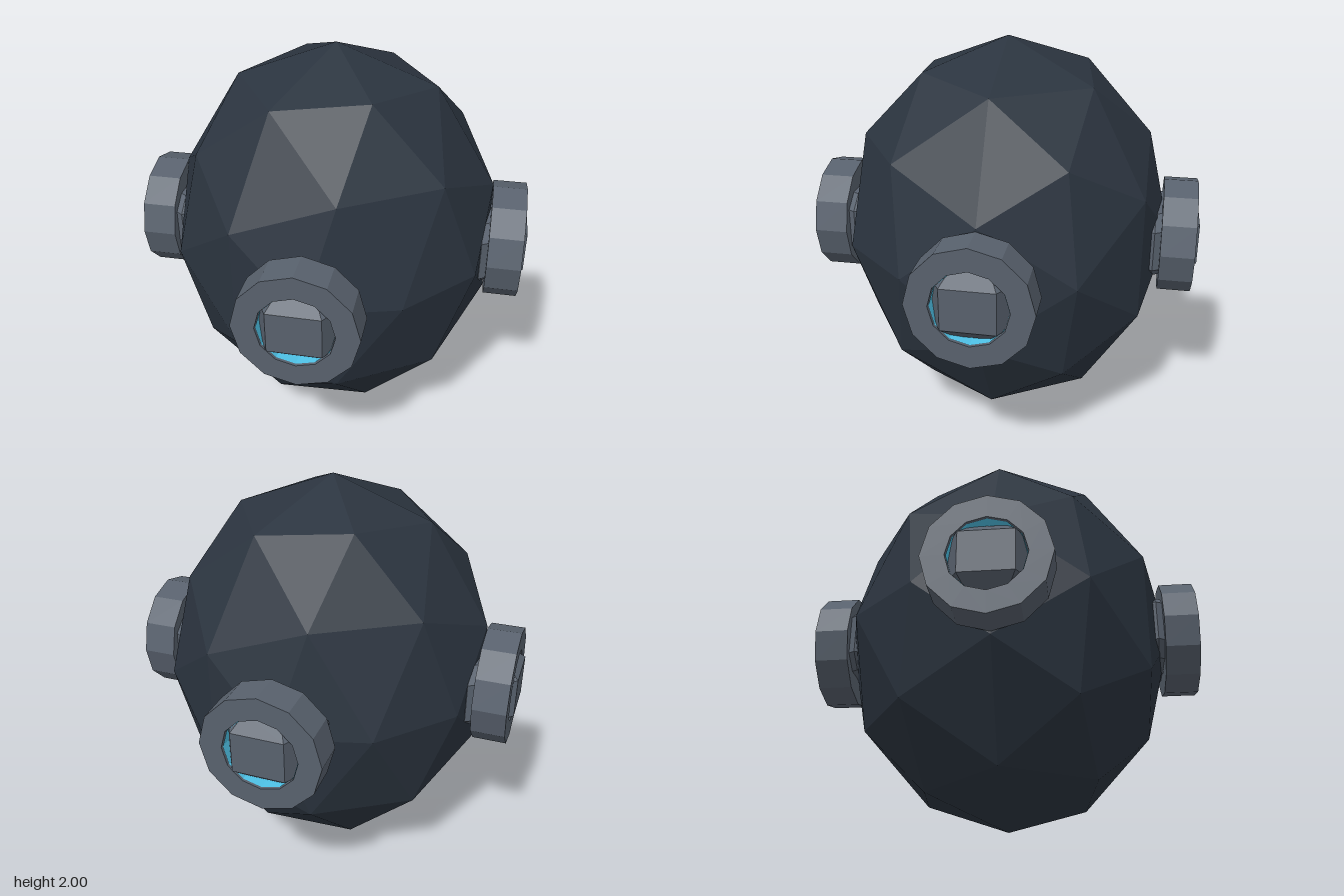
import * as THREE from 'three';

const flat = (color) => new THREE.MeshStandardMaterial({ color, flatShading: true });

function part(name, geometry, material) {
  const mesh = new THREE.Mesh(geometry, material);
  mesh.name = name;
  return mesh;
}

// Turned part whose axis points along +y
function turned(points, sides) {
  return new THREE.LatheGeometry(points.map(([r, y]) => new THREE.Vector2(r, y)), sides);
}

export function createModel() {
  const model = new THREE.Group();
  model.name = 'pod';

  const hullMaterial = flat(0x2b343f);
  const metalMaterial = flat(0x58616d);
  const glowMaterial = flat(0x4fc3e8);
  glowMaterial.side = THREE.DoubleSide;

  // Faceted egg-shaped hull, taller than wide, turned about its upright axis
  const hullGeometry = new THREE.IcosahedronGeometry(1, 1);
  hullGeometry.rotateY(THREE.MathUtils.degToRad(121.7));
  hullGeometry.scale(0.85, 1, 0.85);
  const hull = part('hull', hullGeometry, hullMaterial);
  hull.position.y = 1;
  model.add(hull);

  // Flat twelve-sided ring with a round opening, facing +z
  const ringGeometry = turned(
    [[0.185, 0.81], [0.297, 0.81], [0.297, 0.98], [0.185, 0.98], [0.185, 0.81]], 12);
  ringGeometry.rotateX(Math.PI / 2);

  // Glowing lining inside the opening
  const liningGeometry = new THREE.CylinderGeometry(0.181, 0.181, 0.15, 12, 1, true);
  liningGeometry.rotateX(Math.PI / 2);
  liningGeometry.translate(0, 0, 0.895);

  // Six-sided core with bevelled top and bottom, one flat side facing +z
  const coreGeometry = turned(
    [[0, -0.17], [0.17, -0.17], [0.256, -0.103], [0.256, 0.103], [0.17, 0.17], [0, 0.17]], 6);
  coreGeometry.rotateY(Math.PI / 6);
  coreGeometry.translate(0, 0, 0.778);

  // One port on each of the four sides
  ['front', 'left', 'back', 'right'].forEach((side, i) => {
    const port = new THREE.Group();
    port.name = side + 'Port';
    port.add(
      part('ring', ringGeometry, metalMaterial),
      part('glowLining', liningGeometry, glowMaterial),
      part('core', coreGeometry, metalMaterial));
    port.position.y = 1;
    port.rotation.y = i * Math.PI / 2;
    model.add(port);
  });

  return model;
}
